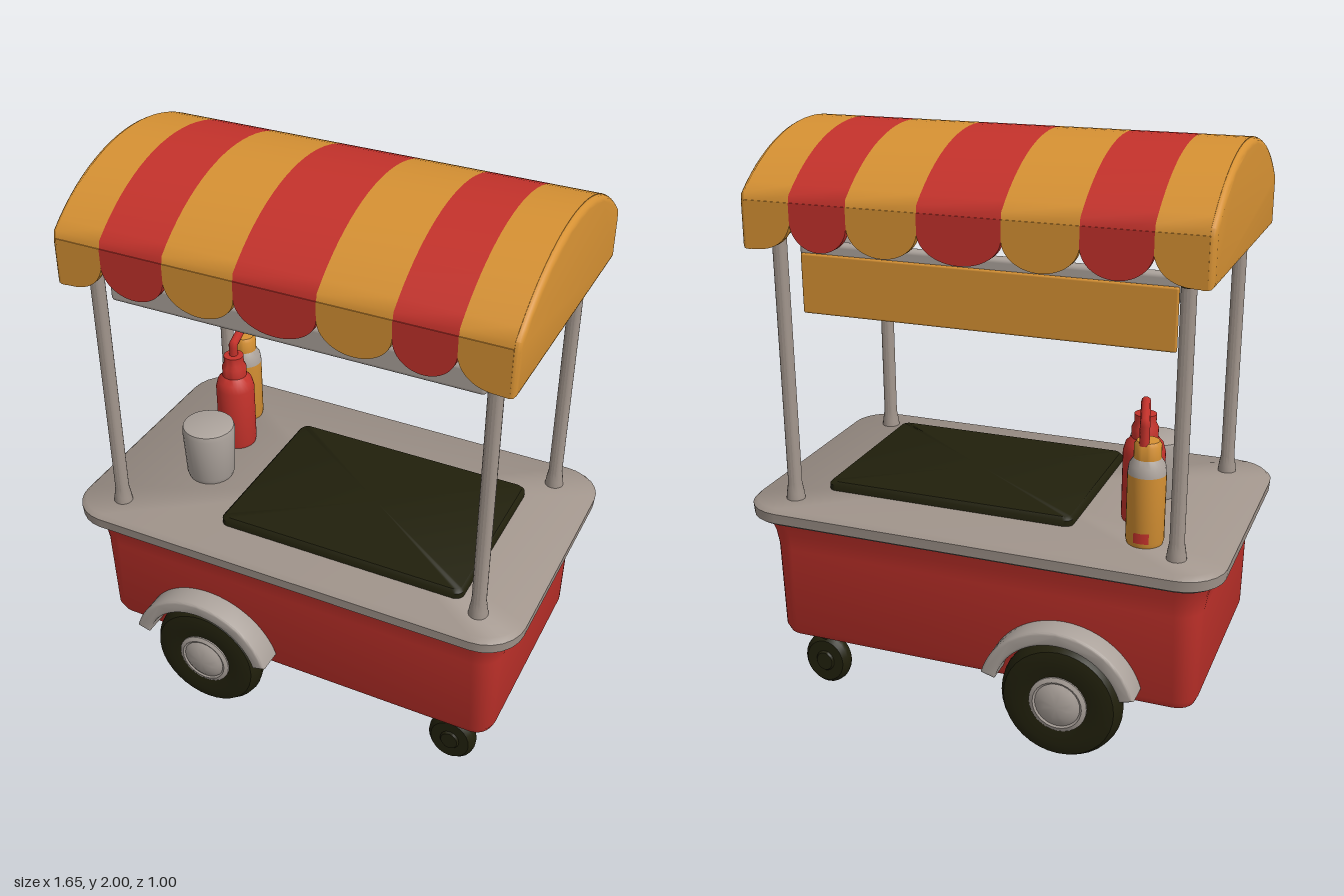
import * as THREE from 'three';
import { toCreasedNormals } from 'three/addons/utils/BufferGeometryUtils.js';
import { RoundedBoxGeometry } from 'three/addons/geometries/RoundedBoxGeometry.js';

const material = (name, color) => {
  const m = new THREE.MeshStandardMaterial({ color });
  m.name = name;
  return m;
};

export function createModel() {
  const red = material('red', 0xc4322b);
  const maroon = material('deep red', 0x9c1f28);
  const gold = material('gold', 0xd69133);
  const grey = material('warm grey', 0xa0948b);
  const pale = material('pale grey', 0xaca39c);
  const dark = material('near black', 0x21200c);
  const model = new THREE.Group();

  const add = (name, geometry, mat, x = 0, y = 0, z = 0, parent = model) => {
    const mesh = new THREE.Mesh(geometry, mat);
    mesh.name = name;
    mesh.position.set(x, y, z);
    parent.add(mesh);
    return mesh;
  };
  const lathe = (pts, n = 28) =>
    toCreasedNormals(new THREE.LatheGeometry(pts.map(([r, y]) => new THREE.Vector2(r, y)), n), 0.7);
  const extrude = (shape, depth, bevel = 0) => toCreasedNormals(new THREE.ExtrudeGeometry(shape, {
    depth: depth - 2 * bevel, curveSegments: 16, bevelEnabled: bevel > 0,
    bevelSize: bevel, bevelThickness: bevel, bevelOffset: -bevel, bevelSegments: 3,
  }).translate(0, 0, bevel), 0.7);

  // Stacked rounded rectangles, each [y, halfX, halfZ, cornerRadius], capped at both ends
  function loft(levels) {
    const pos = [], idx = [], steps = 6, n = 4 * (steps + 1);
    for (const [y, hx, hz, r] of levels) {
      for (let c = 0; c < 4; c++) for (let k = 0; k <= steps; k++) {
        const a = (c + k / steps) * Math.PI / 2;
        const sx = c === 0 || c === 3 ? 1 : -1, sz = c < 2 ? 1 : -1;
        pos.push(sx * (hx - r) + r * Math.cos(a), y, sz * (hz - r) + r * Math.sin(a));
      }
    }
    const last = levels.length - 1, bottom = pos.length / 3, top = bottom + 1;
    pos.push(0, levels[0][0], 0, 0, levels[last][0], 0);
    for (let i = 0; i < n; i++) {
      const j = (i + 1) % n;
      for (let l = 0; l < last; l++) {
        const a = l * n + i, b = l * n + j;
        idx.push(a, a + n, b, b, a + n, b + n);
      }
      idx.push(bottom, i, j, top, last * n + j, last * n + i);
    }
    const g = new THREE.BufferGeometry();
    g.setAttribute('position', new THREE.Float32BufferAttribute(pos, 3));
    g.setIndex(idx);
    return toCreasedNormals(g, 0.8);
  }

  // Cart body with its floor, counter and griddle
  add('body', loft([
    [0.23, 0.715, 0.37, 0.05], [0.238, 0.738, 0.395, 0.06], [0.265, 0.75, 0.408, 0.07],
    [0.58, 0.755, 0.42, 0.08], [0.64, 0.765, 0.43, 0.09], [0.71, 0.79, 0.448, 0.1],
  ]), red);
  add('floor', loft([[0.227, 0.713, 0.368, 0.05], [0.232, 0.713, 0.368, 0.05]]), maroon);
  add('counter', loft([
    [0.70, 0.805, 0.48, 0.12], [0.712, 0.822, 0.497, 0.135],
    [0.748, 0.825, 0.5, 0.138], [0.762, 0.81, 0.485, 0.125],
  ]), grey);
  add('griddle', loft([
    [0.755, 0.445, 0.315, 0.03], [0.782, 0.445, 0.315, 0.03], [0.793, 0.435, 0.305, 0.025],
  ]), dark, 0.155, 0, 0.035);

  // Big side wheels with fenders
  const tyre = lathe([[0, -0.05], [0.15, -0.055], [0.19, -0.045], [0.205, -0.022], [0.21, 0],
    [0.205, 0.022], [0.19, 0.045], [0.15, 0.055], [0.1, 0.045], [0, 0.04]], 36).rotateX(Math.PI / 2);
  const hub = lathe([[0.1, 0.03], [0.1, 0.05], [0.085, 0.056], [0.078, 0.052], [0.065, 0.06],
    [0.04, 0.068], [0, 0.071]]).rotateX(Math.PI / 2);
  const arch = new THREE.Shape();
  arch.absarc(0, 0, 0.272, 0.28, Math.PI - 0.28, false);
  arch.absarc(0, 0, 0.222, Math.PI - 0.28, 0.28, true);
  const fender = extrude(arch, 0.1, 0.01);
  for (const s of [1, -1]) {
    const wheel = new THREE.Group();
    wheel.name = 'sideWheel';
    wheel.position.set(-0.315, 0.22, s * 0.425);
    wheel.rotation.y = s > 0 ? 0 : Math.PI;
    add('tyre', tyre, dark, 0, -0.005, 0, wheel);
    add('hub', hub, pale, 0, -0.005, 0, wheel);
    add('fender', fender, pale, 0, 0, -0.025, wheel);
    add('axle', new THREE.CylinderGeometry(0.045, 0.045, 0.05, 16).rotateX(Math.PI / 2), red, 0, 0, -0.045, wheel);
    model.add(wheel);
  }

  // Small casters
  const caster = lathe([[0, -0.037], [0.03, -0.037], [0.035, -0.03], [0.07, -0.03], [0.083, -0.015],
    [0.086, 0], [0.083, 0.015], [0.07, 0.03], [0.035, 0.03], [0.03, 0.037], [0, 0.037]], 24)
    .rotateX(Math.PI / 2).scale(1, 1.12, 1);
  for (const z of [0.335, -0.335]) {
    add('caster', caster, dark, 0.6, 0.127, z);
    add('casterStem', new THREE.CylinderGeometry(0.025, 0.025, 0.05, 12), dark, 0.6, 0.22, z);
  }

  // Four posts, two of them with dark clamps at the top
  const post = lathe([[0.034, 0.75], [0.03, 0.785], [0.024, 0.82], [0.024, 1.78]], 16);
  for (const x of [-0.665, 0.67]) for (const z of [-0.376, 0.378]) add('post', post, grey, x, 0, z);
  for (const s of [1, -1])
    add('postClamp', new THREE.CylinderGeometry(0.027, 0.027, 0.04, 16), dark, s * 0.668, 1.65, s * 0.377);

  // Frame under the canopy, with cross rods and a hanging board
  for (const z of [0.34, -0.295]) add('frameRail', new RoundedBoxGeometry(1.27, 0.088, 0.045, 2, 0.015), pale, 0, 1.603, z);
  for (const x of [-0.612, 0.612]) add('frameEnd', new RoundedBoxGeometry(0.045, 0.088, 0.66, 2, 0.015), pale, x, 1.603, 0.022);
  [[-0.52, red], [-0.4, gold], [-0.28, red]].forEach(([x, mat]) =>
    add('crossRod', new THREE.CylinderGeometry(0.014, 0.014, 0.86, 10).rotateX(Math.PI / 2), mat, x, 1.7, 0));
  add('hangingBoard', new RoundedBoxGeometry(1.25, 0.2, 0.016, 2, 0.007), gold, 0, 1.51, -0.322);

  // Canopy cross-section: arc in z and y
  const arcPoints = (R, half) => Array.from({ length: 25 }, (_, i) => {
    const a = half * (i / 12 - 1);
    return new THREE.Vector2(R * Math.sin(a), 1.322 + R * Math.cos(a));
  });
  const V = (x, y) => new THREE.Vector2(x, y);
  const roofShape = new THREE.Shape([V(-0.463, 1.79), ...arcPoints(0.678, 0.74), V(0.463, 1.79), V(0.44, 1.785),
    ...arcPoints(0.652, 0.73).reverse(), V(-0.44, 1.785)]);
  const endShape = new THREE.Shape([V(-0.464, 1.645), V(-0.462, 1.79), ...arcPoints(0.676, 0.74),
    V(0.462, 1.79), V(0.464, 1.645)]);

  // Striped roof and scalloped valances
  const edges = [-0.737, -0.58, -0.36, -0.12, 0.15, 0.385, 0.58, 0.737];
  for (let i = 0; i < 7; i++) {
    const x0 = edges[i], x1 = edges[i + 1], mid = (x0 + x1) / 2, w = (x1 - x0) / 2;
    const mat = i % 2 ? red : gold;
    add('roofStripe', extrude(roofShape, x1 - x0).rotateY(Math.PI / 2), mat, x0);
    const flap = new THREE.Shape();
    flap.moveTo(x1, 1.8);
    flap.lineTo(x0, 1.8);
    if (i === 0) {
      flap.lineTo(x0, 1.645);
      flap.lineTo(-0.68, 1.648);
      flap.quadraticCurveTo(-0.6, 1.66, x1, 1.73);
    } else if (i === 6) {
      flap.lineTo(x0, 1.73);
      flap.quadraticCurveTo(0.6, 1.66, 0.68, 1.648);
      flap.lineTo(x1, 1.645);
    } else {
      flap.lineTo(x0, 1.74);
      flap.absellipse(mid, 1.74, w, 0.09, Math.PI, 2 * Math.PI, false);
    }
    const valance = extrude(flap, 0.022);
    add('frontValance', valance, mat, 0, 0, 0.442);
    add('backValance', valance, mat, 0, 0, -0.464);
  }
  const endPanel = extrude(endShape, 0.05, 0.018).rotateY(Math.PI / 2);
  for (const x of [-0.755, 0.705]) add('canopyEnd', endPanel, gold, x);

  // Plain lining under the crown of the roof
  const lining = new THREE.Shape([...arcPoints(0.654, 0.4), ...arcPoints(0.648, 0.4).reverse()]);
  add('roofLining', extrude(lining, 1.42).rotateY(Math.PI / 2), grey, -0.71);

  // Cup
  add('cup', lathe([[0, 0.758], [0.078, 0.758], [0.086, 0.78], [0.094, 0.95], [0.09, 0.968],
    [0.08, 0.972], [0, 0.968]]), pale, -0.47, 0, 0.1);

  // Red sauce bottle
  add('redBottle', lathe([[0, 0.758], [0.066, 0.758], [0.07, 0.775], [0.07, 1.0], [0.062, 1.03],
    [0.044, 1.05], [0.044, 1.085], [0.036, 1.1], [0.036, 1.13], [0, 1.135]]), red, -0.485, 0, -0.12);

  // Yellow sauce bottle with a grey collar and a red patch low on its back
  add('yellowBottle', lathe([[0, 0.758], [0.057, 0.758], [0.062, 0.775], [0.062, 1.0], [0, 1.0]]), gold, -0.54, 0, -0.29);
  add('yellowBottleCollar', lathe([[0.062, 1.0], [0.058, 1.03], [0.042, 1.055], [0, 1.055]]), pale, -0.54, 0, -0.29);
  add('yellowBottleCap', lathe([[0.044, 1.05], [0.044, 1.095], [0.036, 1.108], [0, 1.11]]), gold, -0.54, 0, -0.29);
  add('bottlePatch', new THREE.CylinderGeometry(0.064, 0.064, 0.035, 8, 1, true, Math.PI - 0.35, 0.8), red, -0.54, 0.797, -0.29);

  // Spout arm linking the bottle tops
  const arm = new THREE.CurvePath();
  const bends = [[-0.485, 1.1, -0.12], [-0.485, 1.172, -0.12], [-0.535, 1.172, -0.318], [-0.535, 1.1, -0.318]]
    .map((p) => new THREE.Vector3(...p));
  for (let i = 0; i < 3; i++) arm.add(new THREE.LineCurve3(bends[i], bends[i + 1]));
  add('spoutArm', new THREE.TubeGeometry(arm, 48, 0.016, 10), red);

  return model;
}
